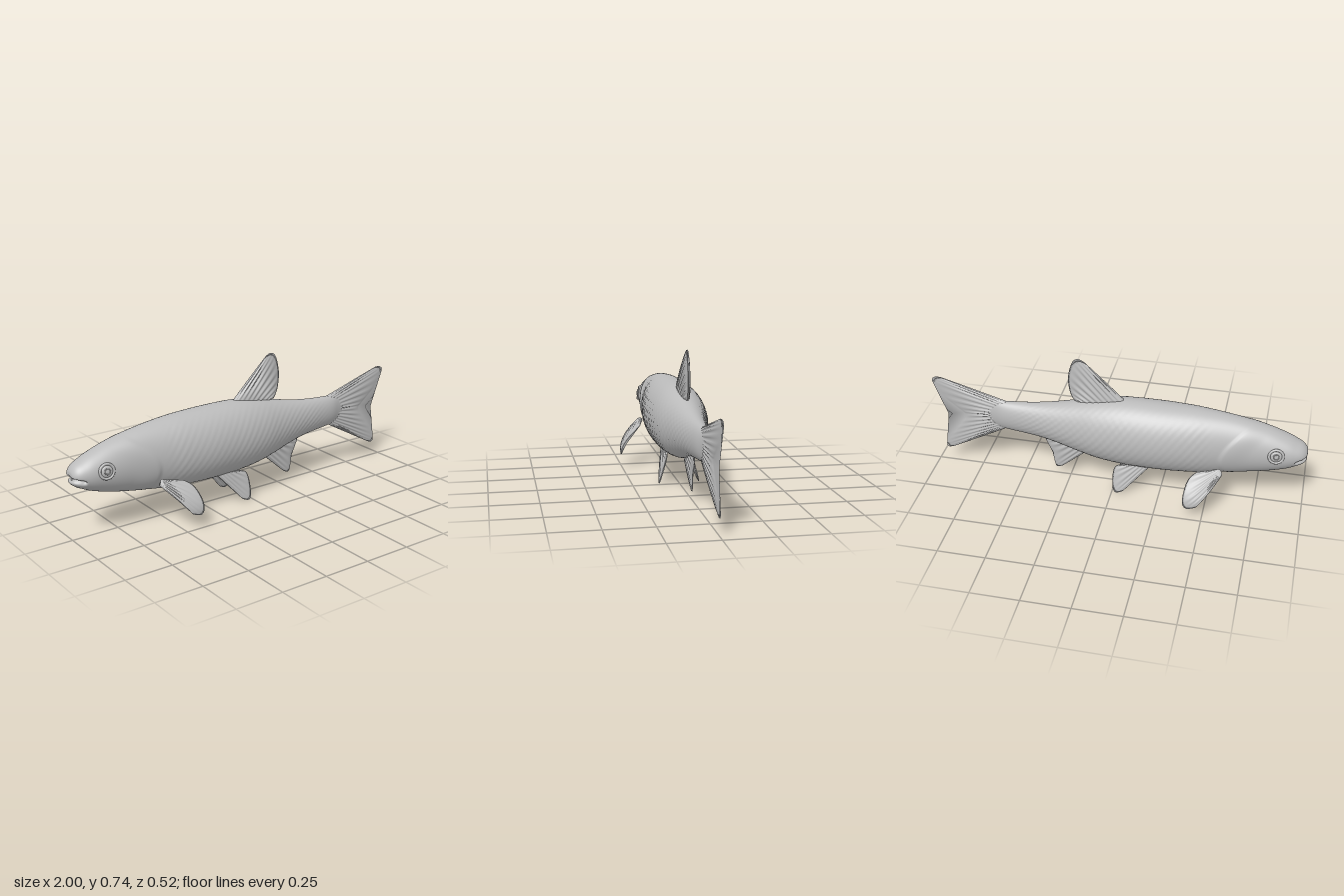
import * as THREE from 'three';

const skin = new THREE.MeshStandardMaterial({ color: 0xbbbbbb });
skin.name = 'plain grey';

// Closed skin over a list of rings, each ring a loop of Vector3
function loft(rings) {
  const n = rings[0].length, pos = [], idx = [];
  for (const ring of rings) for (const p of ring) pos.push(p.x, p.y, p.z);
  for (let i = 0; i < rings.length - 1; i++) {
    for (let j = 0; j < n; j++) {
      const k = (j + 1) % n, a = i * n, b = a + n;
      idx.push(a + j, a + k, b + j, a + k, b + k, b + j);
    }
  }
  // end caps
  [0, rings.length - 1].forEach((r, end) => {
    const c = new THREE.Vector3();
    rings[r].forEach((p) => c.addScaledVector(p, 1 / n));
    const ci = pos.length / 3;
    pos.push(c.x, c.y, c.z);
    for (let j = 0; j < n; j++) {
      const a = r * n + j, b = r * n + (j + 1) % n;
      if (end) idx.push(ci, a, b); else idx.push(ci, b, a);
    }
  });
  // turn the faces outward if the enclosed volume is negative
  const at = (i) => new THREE.Vector3().fromArray(pos, i * 3);
  let volume = 0;
  for (let i = 0; i < idx.length; i += 3) {
    volume += at(idx[i]).dot(at(idx[i + 1]).cross(at(idx[i + 2])));
  }
  if (volume < 0) idx.reverse();
  const g = new THREE.BufferGeometry();
  g.setAttribute('position', new THREE.Float32BufferAttribute(pos, 3));
  g.setIndex(idx);
  g.computeVertexNormals();
  return g;
}

// Body stations: x, top, bottom, half width
const STATIONS = [
  [-1, 0.345, 0.315, 0.015], [-0.995, 0.365, 0.298, 0.038], [-0.975, 0.388, 0.28, 0.06],
  [-0.94, 0.408, 0.262, 0.076], [-0.89, 0.432, 0.24, 0.088], [-0.8, 0.465, 0.213, 0.097],
  [-0.7, 0.49, 0.192, 0.104], [-0.6, 0.508, 0.175, 0.112], [-0.5, 0.52, 0.16, 0.126],
  [-0.4, 0.528, 0.15, 0.14], [-0.25, 0.532, 0.145, 0.151], [-0.1, 0.532, 0.146, 0.149],
  [0, 0.526, 0.153, 0.143], [0.1, 0.51, 0.167, 0.13], [0.2, 0.488, 0.19, 0.108],
  [0.3, 0.465, 0.218, 0.088], [0.4, 0.447, 0.24, 0.07], [0.5, 0.436, 0.252, 0.055],
  [0.6, 0.43, 0.262, 0.042], [0.66, 0.425, 0.275, 0.026], [0.73, 0.4, 0.3, 0.008],
];

function bodyGeometry() {
  const heights = new THREE.CatmullRomCurve3(
    STATIONS.map((s) => new THREE.Vector3(s[0], s[1], s[2])), false, 'catmullrom');
  const widths = new THREE.CatmullRomCurve3(
    STATIONS.map((s) => new THREE.Vector3(s[0], s[3], 0)), false, 'catmullrom');
  const rings = [], steps = 220, sides = 80;
  const { smoothstep } = THREE.MathUtils;
  for (let i = 0; i <= steps; i++) {
    const h = heights.getPoint(i / steps), w = widths.getPoint(i / steps).y;
    const mid = (h.y + h.z) / 2, half = (h.y - h.z) / 2, ring = [];
    for (let j = 0; j < sides; j++) {
      const a = (j / sides) * Math.PI * 2, c = Math.cos(a), s = Math.sin(a);
      let x = h.x, d = 0;
      const y = mid + half * c;
      // gill cover: a swelling that ends in a curved step
      const gill = x - (-0.575 - 4 * (y - 0.29) ** 2);
      d += 0.009 * smoothstep(gill, -0.13, -0.01) * (1 - smoothstep(gill, 0, 0.025)) * s * s;
      // shallow staggered scales on the flanks
      const scales = smoothstep(x, -0.55, -0.42) * (1 - smoothstep(x, 0.4, 0.6)) * s * s;
      d += 0.0018 * scales * Math.sin(x * 150) * Math.cos(a * 20);
      // mouth slit
      const slit = Math.exp(-(((y - 0.322 - (x + 1) * -0.25) / 0.009) ** 2))
        * (1 - smoothstep(x, -0.965, -0.935));
      x += 0.022 * slit;
      d -= 0.012 * slit * Math.abs(s) * Math.min(1, w / 0.04);
      ring.push(new THREE.Vector3(x, y + d * c, (w + d) * s));
    }
    rings.push(ring);
  }
  return loft(rings);
}

// Ribbed fin fanning from a root line to a tip curve; zAt(y) bends it sideways
function finGeometry({ root, tip, thick, rays, zAt = () => 0 }) {
  const rootLine = new THREE.SplineCurve(root.map((p) => new THREE.Vector2(...p)));
  const tipLine = new THREE.SplineCurve(tip.map((p) => new THREE.Vector2(...p)));
  const rings = [], rows = 16, cols = 64;
  for (let i = 0; i <= rows; i++) {
    const v = i / rows, front = [], back = [];
    for (let j = 0; j <= cols; j++) {
      const u = j / cols;
      const p = rootLine.getPoint(u).lerp(tipLine.getPoint(u), v);
      const slope = (zAt(p.y + 0.001) - zAt(p.y - 0.001)) / 0.002;
      const normal = new THREE.Vector3(0, -slope, 1).normalize();
      const ribs = 1 + 0.22 * Math.sin(v * Math.PI) * Math.cos(u * rays * Math.PI * 2);
      const t = thick * (1 - 0.6 * v) * Math.sqrt(1 - 0.9 * v ** 8)
        * Math.pow(Math.sin(Math.PI * (0.01 + 0.98 * u)), 0.4) * ribs;
      const centre = new THREE.Vector3(p.x, p.y, zAt(p.y));
      front.push(centre.clone().addScaledVector(normal, t));
      back.unshift(centre.addScaledVector(normal, -t));
    }
    rings.push([...front, ...back]);
  }
  return loft(rings);
}

const FINS = {
  dorsalFin: {
    root: [[-0.06, 0.51], [0.06, 0.5], [0.17, 0.475]],
    tip: [[0.165, 0.73], [0.2, 0.742], [0.23, 0.715], [0.25, 0.63], [0.243, 0.545], [0.222, 0.493]],
    thick: 0.025, rays: 9,
  },
  tailFin: {
    root: [[0.58, 0.425], [0.62, 0.345], [0.58, 0.275]],
    tip: [[0.95, 0.536], [0.985, 0.533], [0.998, 0.505], [0.95, 0.42], [0.865, 0.35], [0.832, 0.315],
      [0.872, 0.25], [0.925, 0.175], [0.952, 0.115], [0.945, 0.087], [0.915, 0.092]],
    thick: 0.024, rays: 16,
  },
  analFin: {
    root: [[0.13, 0.2], [0.22, 0.23], [0.31, 0.25]],
    tip: [[0.295, 0.055], [0.325, 0.046], [0.338, 0.075], [0.344, 0.14], [0.37, 0.19],
      [0.385, 0.225], [0.37, 0.245]],
    thick: 0.017, rays: 8,
  },
};

const PAIRED_FINS = {
  PelvicFin: {
    root: [[-0.21, 0.185], [-0.15, 0.185], [-0.1, 0.18]],
    tip: [[-0.06, 0.016], [-0.025, 0.004], [-0.006, 0.025], [0, 0.09], [-0.008, 0.14], [-0.03, 0.157]],
    thick: 0.014, rays: 7,
    zAt: (y) => 0.063 + (0.16 - y) * 0.29,
  },
  PectoralFin: {
    root: [[-0.585, 0.235], [-0.575, 0.245], [-0.56, 0.25]],
    tip: [[-0.47, 0.092], [-0.425, 0.078], [-0.403, 0.1], [-0.4, 0.15], [-0.415, 0.205], [-0.45, 0.232]],
    thick: 0.013, rays: 7,
    zAt: (y) => 0.255 - 0.14 * ((y - 0.08) / 0.17) ** 2,
  },
};

export function createModel() {
  const fish = new THREE.Group();
  fish.name = 'fish';
  const add = (name, geometry, parent = fish) => {
    const mesh = new THREE.Mesh(geometry, skin);
    mesh.name = name;
    parent.add(mesh);
    return mesh;
  };

  add('body', bodyGeometry());
  for (const [name, spec] of Object.entries(FINS)) add(name, finGeometry(spec));

  // the head points along -x, so the two flanks are +z and -z
  for (const [flank, side] of [['near', 1], ['far', -1]]) {
    for (const [name, spec] of Object.entries(PAIRED_FINS)) {
      add(flank + name, finGeometry({ ...spec, zAt: (y) => side * spec.zAt(y) }));
    }
    // eye with raised rim and pupil
    const eye = new THREE.Group();
    eye.name = flank + 'Eye';
    eye.position.set(-0.845, 0.355, side * 0.09);
    eye.rotation.set(side * -0.15, side * -0.12, 0);
    add('eyeRim', new THREE.TorusGeometry(0.036, 0.007, 12, 40), eye);
    add('eyeball', new THREE.SphereGeometry(0.03, 32, 20), eye).scale.z = 0.35;
    const pupil = add('pupil', new THREE.TorusGeometry(0.014, 0.003, 8, 28), eye);
    pupil.position.z = side * 0.009;
    fish.add(eye);
  }
  return fish;
}
